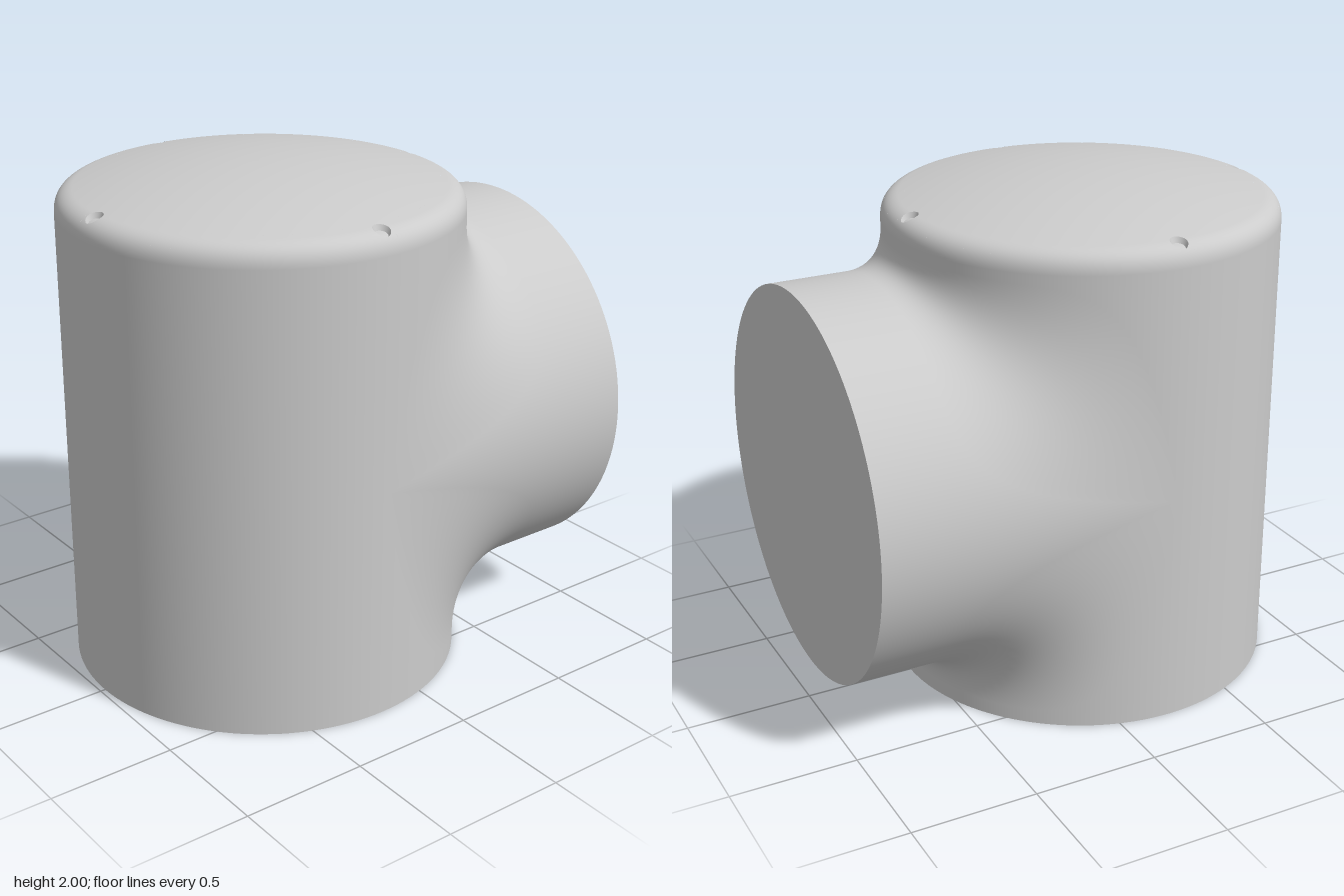
import * as THREE from 'three';
import { ParametricGeometry } from 'three/addons/geometries/ParametricGeometry.js';

const R = 0.77;      // radius of body and side branch
const ZC = 0.21;     // body axis
const YC = 0.925;    // branch axis height
const DOME_R = 0.7;  // where the dome meets the rounded rim
const RIM_Y = 1.834; // top of the straight wall
const HOLE_R = 0.715, HOLE = 0.033, FLOOR = 0.025, HALF = 0.04, DEPTH = 0.02;
const SPAN = HALF / HOLE_R; // half angle of the patch around a hole
const TAU = Math.PI * 2;

// Height of the cap at radius r: shallow dome, then a rounded rim
function capY(r) {
  if (r <= DOME_R) return 2 - 0.16 * r * r;
  const t = 1 - Math.sqrt(Math.max(0, (R - r) / (R - DOME_R)));
  return (1 - t) ** 2 * 1.9216 + 2 * t * (1 - t) * 1.906 + t * t * RIM_Y;
}

const capPoint = (r, a, drop, p) =>
  p.set(r * Math.sin(a), capY(r) - drop, ZC + r * Math.cos(a));

export function createModel() {
  const group = new THREE.Group();
  const material = new THREE.MeshStandardMaterial({ color: 0xcccccc });
  const add = (name, geometry, parent = group) => {
    const mesh = new THREE.Mesh(geometry, material);
    mesh.name = name;
    parent.add(mesh);
    return mesh;
  };
  const surface = (name, fn, nu, nv, parent) =>
    add(name, new ParametricGeometry(fn, nu, nv), parent);

  // Upright body and side branch
  add('body', new THREE.CylinderGeometry(R, R, RIM_Y, 128)).position.set(0, RIM_Y / 2, ZC);
  const branch = new THREE.CylinderGeometry(R, R, ZC + 0.98, 128).rotateX(Math.PI / 2);
  add('sideBranch', branch).position.set(0, YC, (ZC - 0.98) / 2);

  // Concave blend: a curve from branch to body at every angle round the branch
  surface('branchBlend', (u, v, p) => {
    const th = u * TAU;
    const s = Math.abs(Math.sin(th));
    const sign = th <= Math.PI ? 1 : -1;
    const setback = (0.87 - R * s) * Math.max(0.005, 1 - (1 - s) ** 4);
    p.set(
      R * Math.cos(th),
      YC + sign * (R * s + v * v * setback),
      ZC - R * s - (1 - v) ** 2 * setback
    );
  }, 128, 20);

  // Domed cap, with four shallow holes near its rim
  const cap = new THREE.Group();
  cap.name = 'cap';
  group.add(cap);
  const inner = HOLE_R - HALF, outer = HOLE_R + HALF;
  surface('dome', (u, v, p) => capPoint(u * inner, v * TAU, 0, p), 16, 128, cap);
  const rimT = Math.sqrt(R - outer);
  surface('rim', (u, v, p) =>
    capPoint(R - ((1 - u) * rimT) ** 2, v * TAU, 0, p), 8, 128, cap);

  for (let i = 0; i < 4; i++) {
    const a0 = i * Math.PI / 2;
    // Plain band between two holes
    surface('rimBand', (u, v, p) =>
      capPoint(inner + u * 2 * HALF, a0 + SPAN + v * (Math.PI / 2 - 2 * SPAN), 0, p), 12, 32, cap);

    // Point at a distance and direction from the hole centre
    const local = (rho, phi, drop, p) =>
      capPoint(HOLE_R + rho * Math.cos(phi), a0 + rho * Math.sin(phi) / HOLE_R, drop, p);
    surface('holeSurround', (u, v, p) => {
      const phi = v * TAU;
      const edge = HALF / Math.max(Math.abs(Math.cos(phi)), Math.abs(Math.sin(phi)));
      local(HOLE + (edge - HOLE) * u, phi, 0, p);
    }, 6, 32, cap);
    surface('holeWall', (u, v, p) =>
      local(FLOOR + (HOLE - FLOOR) * u, v * TAU, DEPTH * (1 - u), p), 2, 32, cap);
    surface('holeFloor', (u, v, p) => local(FLOOR * u, v * TAU, DEPTH, p), 3, 32, cap);
  }
  return group;
}
